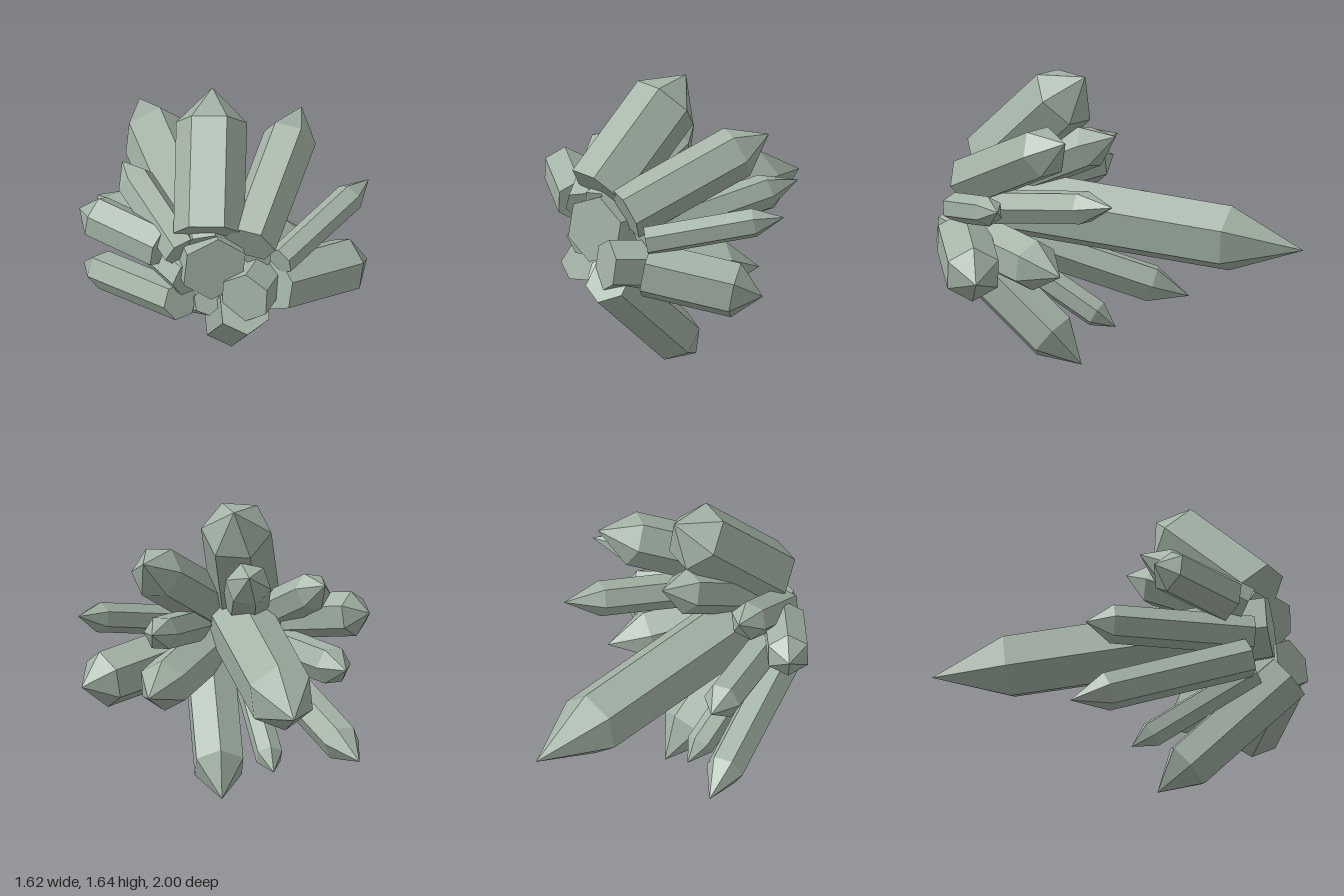
import * as THREE from 'three';

const SIDES = 6;
const UP = new THREE.Vector3(0, 1, 0);
const material = new THREE.MeshStandardMaterial({ color: 0xa3b3a6, flatShading: true });

// Six-sided prism running from the base centre toward the tip, ending in a pyramid.
// "roll" turns the long edges about the axis, in degrees from straight up.
function crystalGeometry(base, tip, radius, pointLength, roll = 0) {
  const start = new THREE.Vector3(...base);
  const end = new THREE.Vector3(...tip);
  const axis = end.clone().sub(start).normalize();
  const shoulder = end.clone().addScaledVector(axis, -pointLength);
  const u = UP.clone().projectOnPlane(axis).normalize().applyAxisAngle(axis, -THREE.MathUtils.degToRad(roll));
  const v = axis.clone().cross(u);

  const points = [];
  for (const centre of [start, shoulder]) {
    for (let i = 0; i < SIDES; i++) {
      const a = (i / SIDES) * Math.PI * 2;
      points.push(centre.clone()
        .addScaledVector(u, Math.cos(a) * radius)
        .addScaledVector(v, Math.sin(a) * radius));
    }
  }
  const tipIndex = points.push(end) - 1;
  const baseIndex = points.push(start) - 1;

  const index = [];
  for (let i = 0; i < SIDES; i++) {
    const j = (i + 1) % SIDES;
    index.push(i, j, SIDES + j, i, SIDES + j, SIDES + i); // side
    index.push(SIDES + i, SIDES + j, tipIndex);           // point
    index.push(j, i, baseIndex);                          // flat base
  }

  const indexed = new THREE.BufferGeometry().setFromPoints(points);
  indexed.setIndex(index);
  const geometry = indexed.toNonIndexed();
  geometry.computeVertexNormals();
  return geometry;
}

// name: base centre, tip, radius, length of the point, roll
const CRYSTALS = {
  // long main crystal reaching to the back
  mainCrystal: [[-0.035, 0.88, 0.87], [-0.52, 0.71, -1], 0.195, 0.44, -7],
  // upper crystals
  topCrystal: [[-0.07, 1.08, 0.8], [-0.07, 1.645, 0.18], 0.2, 0.2, 33],
  topBackCrystal: [[-0.08, 0.97, 0.78], [-0.17, 1.3, 0.04], 0.13, 0.18, 42],
  upperLeftCrystal: [[0.16, 1.01, 0.8], [0.425, 1.38, -0.02], 0.153, 0.21, 26],
  upperRightCrystal: [[-0.22, 0.95, 0.8], [-0.575, 1.21, 0.3], 0.11, 0.15, -17],
  // crystals on the model's left
  leftThinCrystal: [[0.33, 0.89, 0.79], [0.81, 1.03, 0.18], 0.085, 0.17],
  leftBackCrystal: [[0.2, 0.88, 0.72], [0.35, 1.03, -0.29], 0.1, 0.22, 30],
  leftWideCrystal: [[0.3, 0.71, 0.76], [0.805, 0.59, 0.33], 0.165, 0.155],
  leftInnerCrystal: [[0.135, 0.725, 0.925], [0.4, 0.595, 0.03], 0.15, 0.23],
  // crystals on the model's right
  rightUpperCrystal: [[-0.34, 0.94, 0.74], [-0.81, 1.015, 0.49], 0.128, 0.11],
  rightMiddleCrystal: [[-0.18, 0.78, 0.82], [-0.72, 0.78, 0.03], 0.11, 0.15, 30],
  rightLowerCrystal: [[-0.23, 0.62, 0.82], [-0.8, 0.27, -0.03], 0.11, 0.22, 32],
  // lower crystals
  bottomCrystal: [[0.135, 0.64, 0.9], [-0.005, 0, 0.16], 0.153, 0.23],
  bottomThinCrystal: [[-0.08, 0.6, 0.79], [-0.3, 0.165, 0.13], 0.08, 0.13],
};

export function createModel() {
  const group = new THREE.Group();
  group.name = 'crystalCluster';
  for (const [name, shape] of Object.entries(CRYSTALS)) {
    const crystal = new THREE.Mesh(crystalGeometry(...shape), material);
    crystal.name = name;
    group.add(crystal);
  }
  return group;
}
